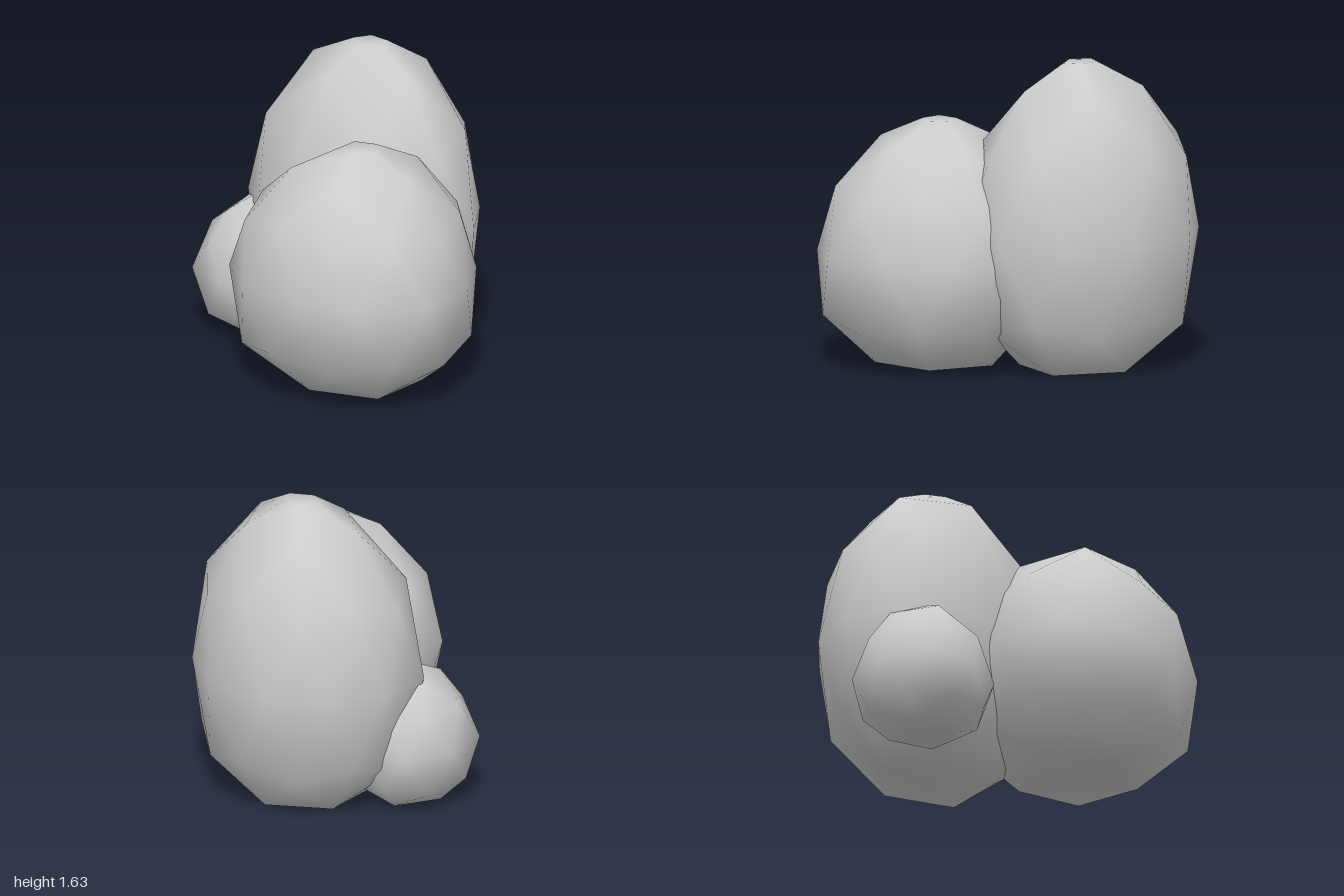
import * as THREE from 'three';
import { ConvexGeometry } from 'three/addons/geometries/ConvexGeometry.js';
import { mergeVertices } from 'three/addons/utils/BufferGeometryUtils.js';

// A boulder: a faceted ball grown from its widest outline ([x, z] points), flat at the base and top
function boulder({ outline, center: [cx, cz], waist, half, belly, base, top }) {
  const n = outline.length;
  const points = outline.map(([x, z]) => new THREE.Vector3(x, waist, z));

  for (let i = 0; i < n; i++) {
    const a = outline[i], b = outline[(i + 1) % n];
    const dx = (a[0] + b[0]) / 2 - cx, dz = (a[1] + b[1]) / 2 - cz;
    const add = (r, y) => points.push(new THREE.Vector3(cx + dx * r, y, cz + dz * r));
    if (i % 2 === 1) {
      // High corner: shoulder, crown and flat top, with a lower edge point beneath
      add(0.93, waist + half * 0.447);
      add(0.553, waist + half * 0.851);
      add(0.16, top);
      add(0.9 * belly, waist - half * 0.526);
    } else {
      // Low corner: belly and flat base, with an upper edge point above
      add(0.89, waist + half * 0.526);
      add(0.94 * belly, waist - half * 0.447);
      add(0.553, base);
    }
  }

  // Share corners so the facets shade smoothly
  const geometry = new ConvexGeometry(points);
  geometry.deleteAttribute('normal');
  const smooth = mergeVertices(geometry, 1e-4);
  smooth.computeVertexNormals();
  return smooth;
}

export function createModel() {
  const group = new THREE.Group();
  const stone = new THREE.MeshStandardMaterial({ color: 0xcccccc });
  stone.name = 'pale grey stone';

  const rocks = {
    tallRock: {
      outline: [[-0.9, -0.25], [-0.81, -0.55], [-0.56, -0.81], [-0.16, -0.86], [0.18, -0.7],
        [0.43, -0.46], [0.4, -0.08], [0.05, 0.22], [-0.5, 0.26], [-0.82, 0.07]],
      center: [-0.22, -0.28], waist: 0.72, half: 0.93, belly: 1, base: 0, top: 1.635,
    },
    wideRock: {
      outline: [[0.12, 0.85], [0.49, 0.8], [0.82, 0.64], [1, 0.3], [0.88, -0.06],
        [0.63, -0.32], [0.3, -0.42], [-0.07, -0.25], [-0.33, 0.29], [-0.21, 0.68]],
      center: [0.32, 0.22], waist: 0.6, half: 0.71, belly: 1.06, base: 0.015, top: 1.31,
    },
    smallRock: {
      outline: [[-1, 0.12], [-0.88, 0.4], [-0.6, 0.44], [-0.34, 0.31],
        [-0.31, 0.05], [-0.44, -0.18], [-0.7, -0.24], [-0.93, -0.16]],
      center: [-0.66, 0.09], waist: 0.33, half: 0.42, belly: 1.06, base: 0.005, top: 0.74,
    },
  };

  for (const [name, spec] of Object.entries(rocks)) {
    const mesh = new THREE.Mesh(boulder(spec), stone);
    mesh.name = name;
    group.add(mesh);
  }
  return group;
}
